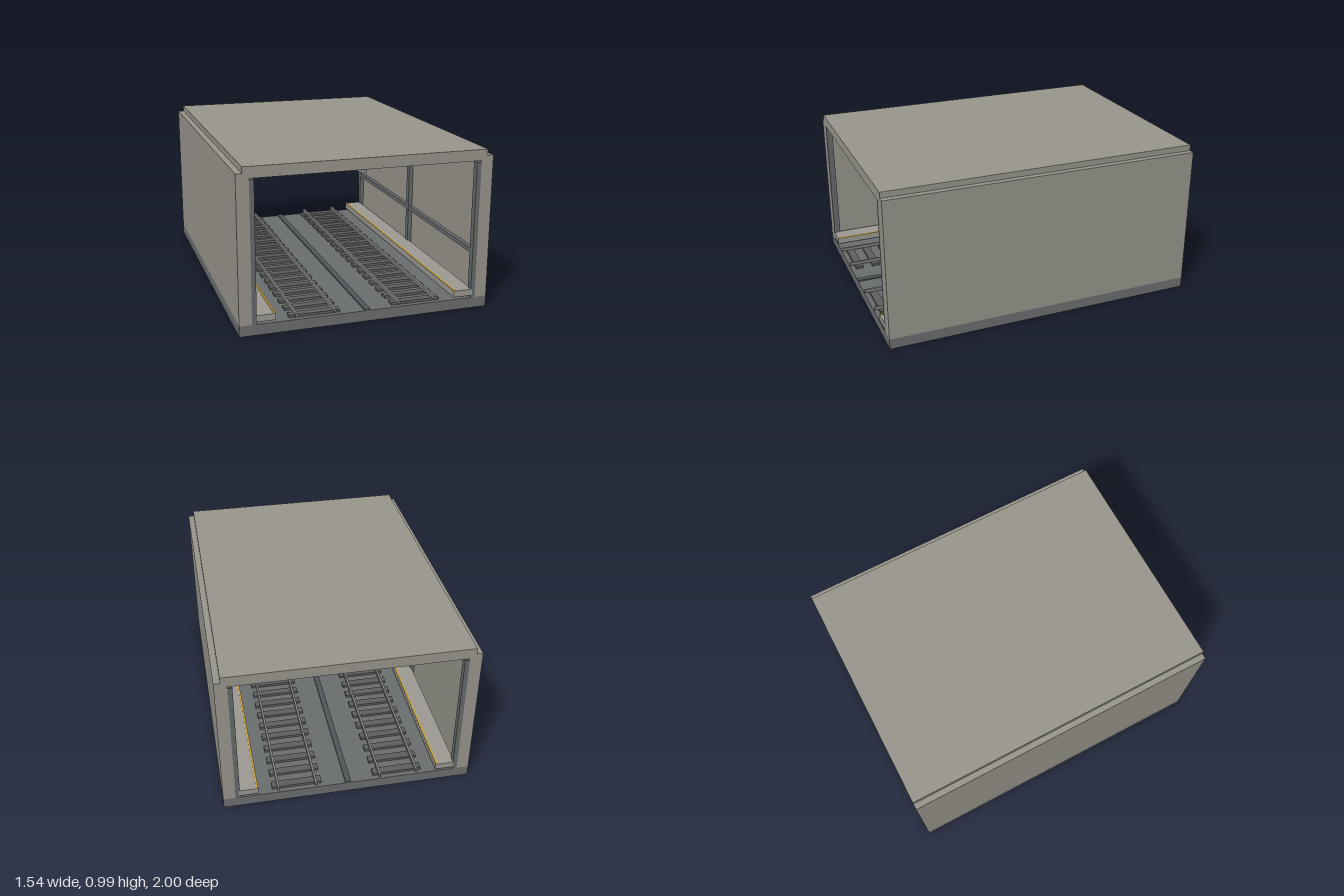
import * as THREE from 'three';

export function createModel() {
  const mat = (name, color) => {
    const m = new THREE.MeshStandardMaterial({ color });
    m.name = name;
    return m;
  };
  const concrete = mat('concrete', 0x98968c);
  const slab = mat('darkSlab', 0x6b6e6f);
  const steel = mat('steelPost', 0x68696a);
  const sleeperMat = mat('sleeper', 0x5e605f);
  const railMat = mat('rail', 0x858584);
  const drainMat = mat('drain', 0x50565a);
  const ledgeMat = mat('walkway', 0x9c9a92);
  const yellow = mat('safetyYellow', 0xc9a13a);
  const lampMat = mat('lamp', 0x9a9a96);

  const model = new THREE.Group();
  model.name = 'tunnelSection';

  // Box given by its extents on each axis
  const box = (name, material, [x0, x1], [y0, y1], [z0, z1], parent = model) => {
    const mesh = new THREE.Mesh(new THREE.BoxGeometry(Math.abs(x1 - x0), y1 - y0, z1 - z0), material);
    mesh.position.set((x0 + x1) / 2, (y0 + y1) / 2, (z0 + z1) / 2);
    mesh.name = name;
    parent.add(mesh);
  };
  const full = [-1, 1];

  // Floor slab and centre drain
  box('floorSlab', slab, [-0.77, 0.77], [0, 0.066], full);
  box('centreDrain', drainMat, [-0.018, 0.018], [0.066, 0.075], full);

  // Shell: walls and roof as one stepped arch section, extruded along z
  const half = [[0.77, 0.066], [0.77, 0.95], [0.733, 0.95], [0.733, 0.987]];
  const inner = [[0.695, 0.92], [0.695, 0.066]];
  const outline = [
    ...half,
    ...half.slice().reverse().map(([x, y]) => [-x, y]),
    ...inner.slice().reverse().map(([x, y]) => [-x, y]),
    ...inner,
  ];
  const shell = new THREE.Mesh(
    new THREE.ExtrudeGeometry(
      new THREE.Shape(outline.map(([x, y]) => new THREE.Vector2(x, y))),
      { depth: 2, bevelEnabled: false }
    ),
    concrete
  );
  shell.position.z = -1;
  shell.name = 'wallsAndRoof';
  model.add(shell);

  for (const [s, side] of [[1, 'left'], [-1, 'right']]) {
    // Wall posts at both ends and the middle
    for (const z of [-0.98, 0, 0.98]) {
      box(side + 'WallPost', steel, [s * 0.667, s * 0.695], [0.066, 0.91], [z - 0.02, z + 0.02]);
    }

    // Raised walkway with a painted edge
    box(side + 'Walkway', ledgeMat, [s * 0.555, s * 0.675], [0.08, 0.12], full);
    box(side + 'WalkwayEdge', yellow, [s * 0.556, s * 0.568], [0.12, 0.123], full);

    // Track: sleepers and two rails
    const track = new THREE.Group();
    track.name = side + 'Track';
    model.add(track);
    const count = 18, step = 2 / count;
    for (let i = 0; i < count; i++) {
      const z = -1 + step * (i + 0.5);
      box('sleeper', sleeperMat, [s * 0.162, s * 0.468], [0.066, 0.082], [z - 0.025, z + 0.025], track);
    }
    for (const x of [0.2, 0.432]) {
      box('rail', railMat, [s * (x - 0.007), s * (x + 0.007)], [0.082, 0.102], full, track);
    }
  }

  // Cable conduit on the left wall
  box('wallConduit', steel, [0.668, 0.695], [0.345, 0.372], full);

  // Ceiling lamps
  for (const z of [-0.75, 0, 0.75]) {
    box('ceilingLamp', lampMat, [-0.015, 0.015], [0.874, 0.893], [z - 0.155, z + 0.155]);
  }

  return model;
}
